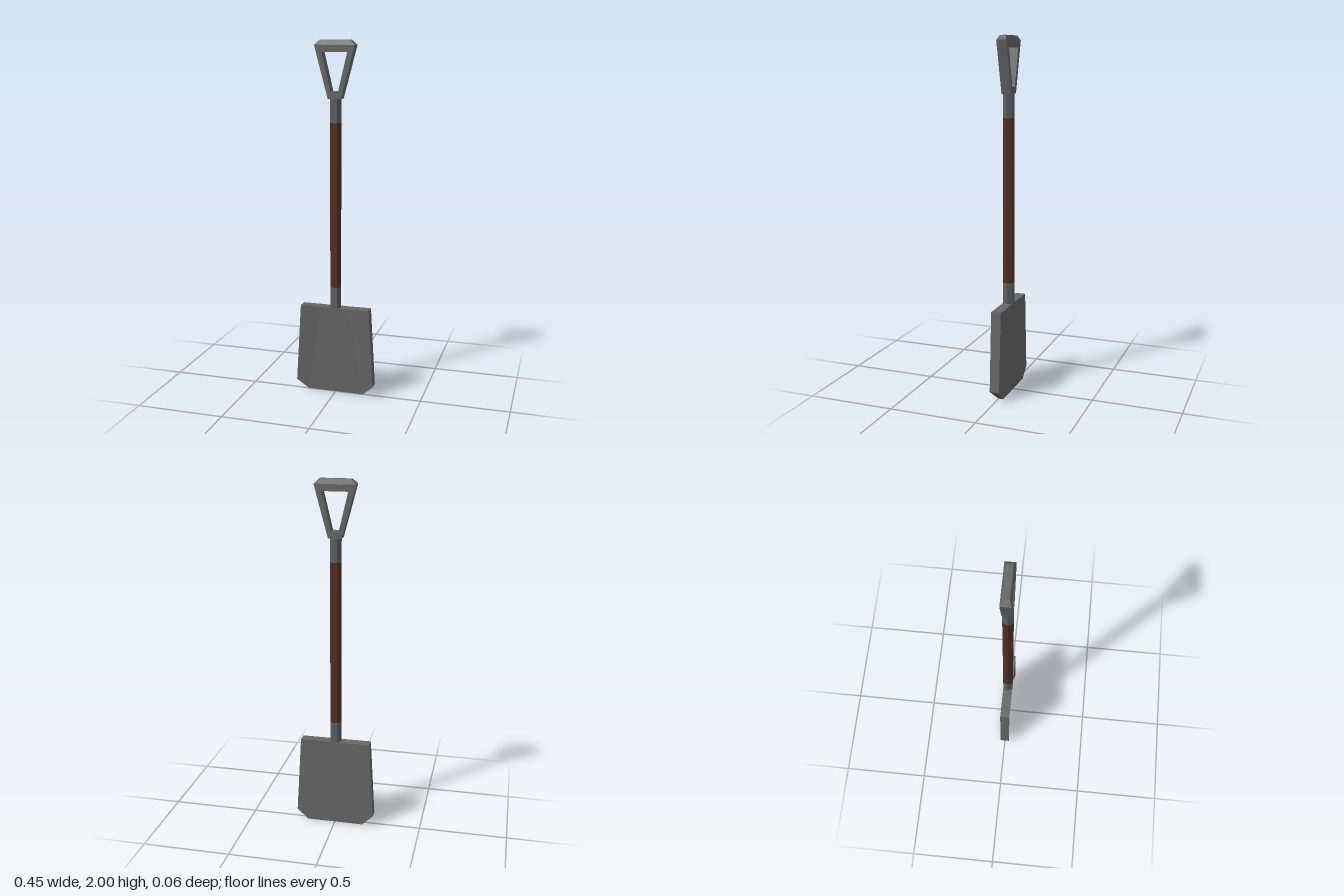
import * as THREE from 'three';

const mat = (name, color) => {
  const m = new THREE.MeshStandardMaterial({ color });
  m.name = name;
  return m;
};

// Flat faces from polygons of [x, y, z] corners, counter-clockwise from outside;
// each polygon keeps one shared normal
function facesGeometry(polygons) {
  const pos = [], nor = [];
  for (const poly of polygons) {
    const p = poly.map((c) => new THREE.Vector3(...c));
    const n = new THREE.Vector3();
    p.forEach((a, i) => n.add(a.clone().cross(p[(i + 1) % p.length])));
    n.normalize();
    for (let i = 1; i < p.length - 1; i++) {
      for (const v of [p[0], p[i], p[i + 1]]) {
        pos.push(v.x, v.y, v.z);
        nor.push(n.x, n.y, n.z);
      }
    }
  }
  const g = new THREE.BufferGeometry();
  g.setAttribute('position', new THREE.Float32BufferAttribute(pos, 3));
  g.setAttribute('normal', new THREE.Float32BufferAttribute(nor, 3));
  return g;
}

// Quads joining two rings of equal length
const bridge = (a, b) => a.map((p, i) => {
  const j = (i + 1) % a.length;
  return [p, a[j], b[j], b[i]];
});

const HALF = 0.028; // half thickness of blade and grip

export function createModel() {
  const model = new THREE.Group();
  model.name = 'shovel';
  const steel = mat('steel', 0x666666);
  const darkSteel = mat('dark steel', 0x5c5e60);
  const wood = mat('dark wood', 0x502f22);

  const add = (name, geometry, material) => {
    const mesh = new THREE.Mesh(geometry, material);
    mesh.name = name;
    model.add(mesh);
  };

  // Blade: flat back, front dished towards a thinner bottom edge
  const front = [
    [-0.2, 0.515, HALF], [-0.227, 0.06, HALF], [-0.163, 0, 0], [0.163, 0, 0],
    [0.227, 0.06, HALF], [0.2, 0.515, HALF], [0.08, 0.515, HALF], [-0.08, 0.515, HALF],
  ];
  const back = front.map(([x, y]) => [x, y, -HALF]);
  const pick = (...ids) => ids.map((i) => front[i]);
  add('blade', facesGeometry([
    pick(0, 1, 2, 7), pick(7, 2, 3, 6), pick(6, 3, 4, 5),
    [...back].reverse(),
    ...bridge(back, front),
  ]), steel);

  // Six-sided shaft: wood between two metal sleeves
  const shaft = (name, y0, y1, material) => {
    const g = new THREE.CylinderGeometry(0.032, 0.032, y1 - y0, 6).toNonIndexed();
    g.rotateY(Math.PI / 2);
    g.translate(0, (y0 + y1) / 2, 0);
    g.computeVertexNormals();
    add(name, g, material);
  };
  shaft('lowerSleeve', 0.515, 0.635, darkSteel);
  shaft('woodenShaft', 0.635, 1.56, wood);
  shaft('upperSleeve', 1.56, 1.69, darkSteel);

  // Grip: tapered frame with an open centre
  const trapezoid = (Type, xBottom, yBottom, xTop, yTop) => new Type([
    [-xBottom, yBottom], [xBottom, yBottom], [xTop, yTop], [-xTop, yTop],
  ].map(([x, y]) => new THREE.Vector2(x, y)));
  const frame = trapezoid(THREE.Shape, 0.037, 1.69, 0.113, 1.974);
  frame.holes.push(trapezoid(THREE.Path, 0.021, 1.728, 0.071, 1.937));
  const grip = new THREE.ExtrudeGeometry(frame, { depth: HALF * 2, bevelEnabled: false });
  grip.translate(0, 0, -HALF);
  add('gripFrame', grip, steel);

  // Chamfered top of the grip
  const ring = (x, y, z) => [[-x, y, z], [x, y, z], [x, y, -z], [-x, y, -z]];
  const low = ring(0.113, 1.974, HALF), high = ring(0.086, 2, 0.017);
  add('gripTop', facesGeometry([...bridge(low, high), high]), steel);

  return model;
}
